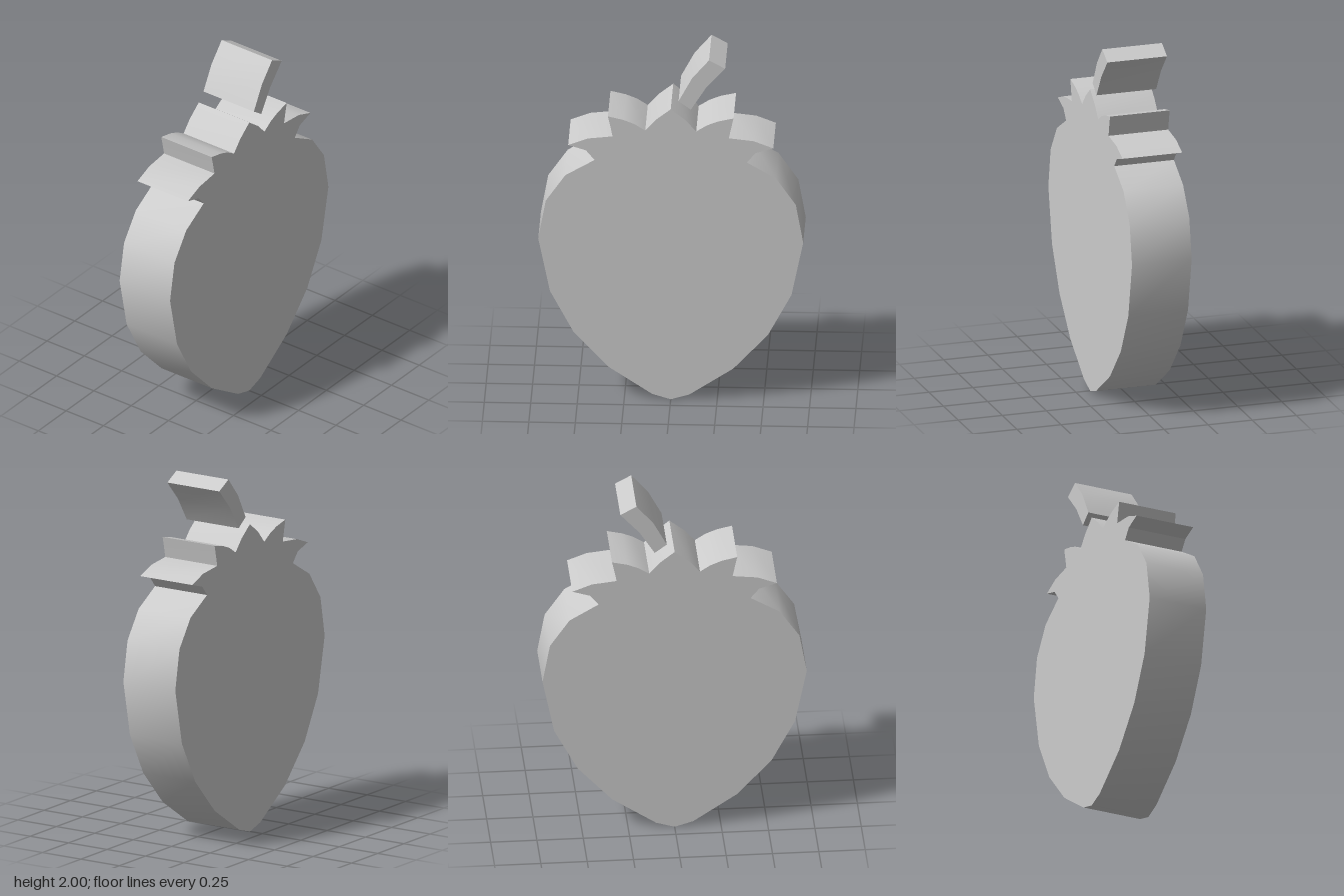
import * as THREE from 'three';
import { toCreasedNormals } from 'three/addons/utils/BufferGeometryUtils.js';

const DEPTH = 0.338;
const material = new THREE.MeshStandardMaterial({ color: 0xcccccc });

// Extrude a flat outline, centred on z, with smooth walls between sharp corners
function slab(name, points) {
  const shape = new THREE.Shape(points.map(([x, y]) => new THREE.Vector2(x, y)));
  const geometry = new THREE.ExtrudeGeometry(shape, { depth: DEPTH, bevelEnabled: false });
  geometry.translate(0, 0, -DEPTH / 2);
  const mesh = new THREE.Mesh(toCreasedNormals(geometry, THREE.MathUtils.degToRad(33)), material);
  mesh.name = name;
  return mesh;
}

export function createModel() {
  const group = new THREE.Group();
  group.name = 'strawberry';

  // Right half of the fruit, from the bottom tip up to the leaves
  const fruit = [
    [0, 0], [0.1, 0.03], [0.337, 0.187], [0.523, 0.388], [0.65, 0.627],
    [0.713, 0.935], [0.673, 1.157], [0.567, 1.31], [0.41, 1.402],
  ];
  // Right half of the leaf crown, from the outer leaf to the middle leaf tip
  const leaves = [
    [0.456, 1.458], [0.552, 1.488], [0.447, 1.528], [0.313, 1.543],
    [0.325, 1.602], [0.338, 1.66], [0.255, 1.641], [0.195, 1.617],
    [0.137, 1.58], [0.08, 1.645], [0, 1.708],
  ];
  const half = [...fruit, ...leaves];
  const mirrored = half.slice(1, -1).reverse().map(([x, y]) => [-x, y]);
  group.add(slab('fruitWithLeaves', [...half, ...mirrored]));

  // Curved stem floating above the leaves
  group.add(slab('stem', [
    [0.042, 1.756], [0.108, 1.708], [0.19, 1.838],
    [0.293, 1.952], [0.206, 2], [0.115, 1.893],
  ]));

  return group;
}
